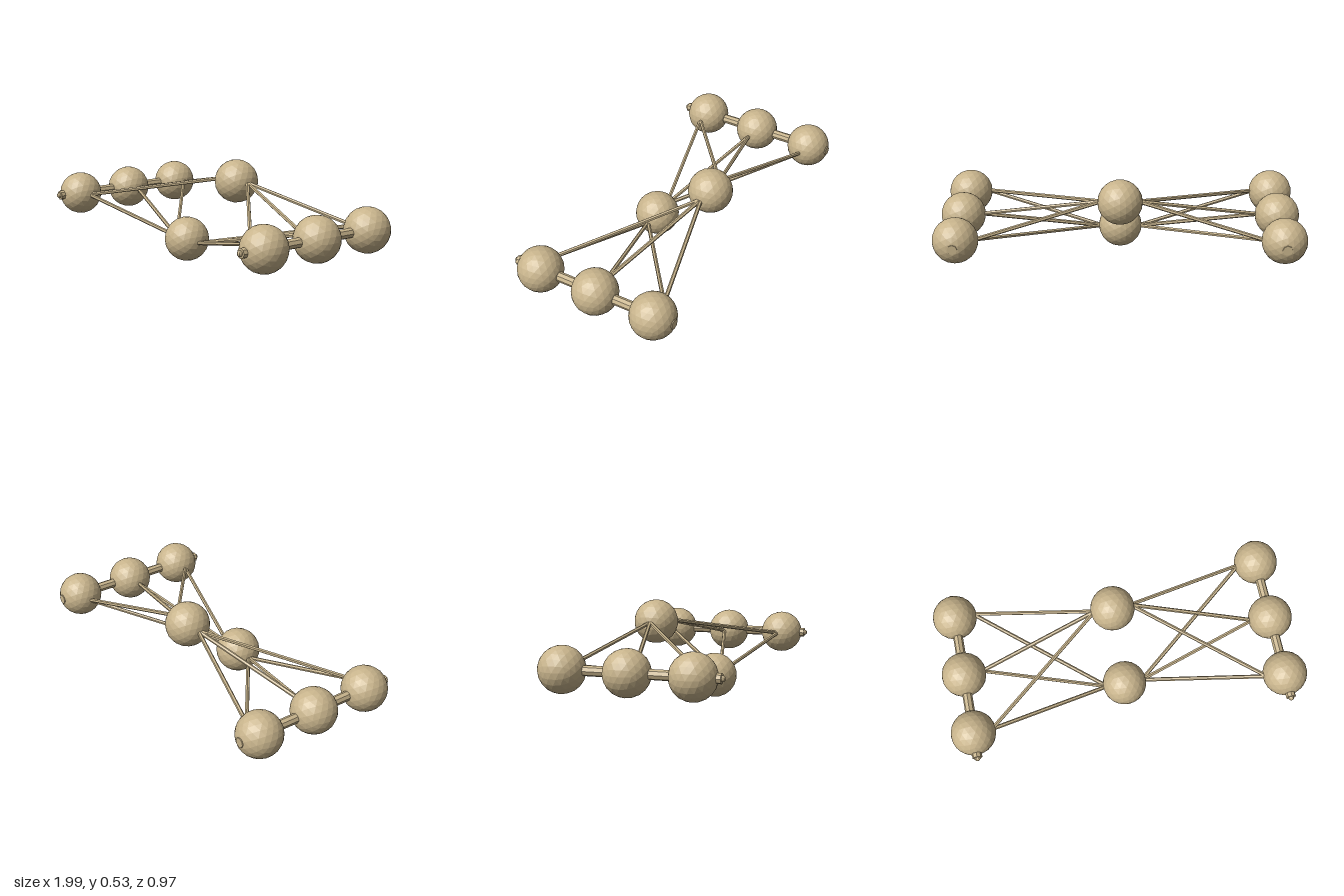
import * as THREE from 'three';

const RADIUS = 0.123;
const MID_Y = 0.265;
const SIDE_X = 0.873;
const SIDE_Z = [0.325, -0.016, -0.362];

export function createModel() {
  const model = new THREE.Group();
  const material = new THREE.MeshStandardMaterial({ color: 0xc8b48c, flatShading: true });
  const ballGeometry = new THREE.IcosahedronGeometry(RADIUS, 3);

  const add = (geometry, name, x, y, z) => {
    const mesh = new THREE.Mesh(geometry, material);
    mesh.name = name;
    mesh.position.set(x, y, z);
    model.add(mesh);
    return mesh;
  };

  // Rod with few sides between two points
  const rod = (name, from, to, radius, sides) => {
    const direction = to.clone().sub(from);
    const middle = from.clone().add(to).multiplyScalar(0.5);
    const geometry = new THREE.CylinderGeometry(radius, radius, direction.length(), sides);
    const mesh = add(geometry, name, middle.x, middle.y, middle.z);
    mesh.quaternion.setFromUnitVectors(new THREE.Vector3(0, 1, 0), direction.normalize());
  };

  // Central balls: one high at the back, one low at the front
  const hubs = [
    { name: 'upperBall', y: 0.411, z: -0.185 },
    { name: 'lowerBall', y: 0.124, z: 0.16 },
  ];
  for (const hub of hubs) add(ballGeometry, hub.name, 0, hub.y, hub.z);

  for (const [side, label] of [[1, 'left'], [-1, 'right']]) {
    const x = side * SIDE_X;

    // Axle through the three side balls, with a rounded tip at the front
    rod(label + 'Axle', new THREE.Vector3(x, MID_Y, -0.486), new THREE.Vector3(x, MID_Y, 0.468), 0.027, 8);
    add(new THREE.SphereGeometry(0.016, 8, 6), label + 'AxleTip', x, MID_Y, 0.471);

    for (const z of SIDE_Z) {
      add(ballGeometry, label + 'Ball', x, MID_Y, z);

      // Thin struts from each central ball to this side ball
      for (const hub of hubs) {
        const bias = hub.y > MID_Y ? 0.004 : -0.006;
        rod(label + 'Strut',
          new THREE.Vector3(side * 0.1, hub.y + bias, hub.z),
          new THREE.Vector3(side * 0.77, MID_Y + 0.004, z),
          0.011, 6);
      }
    }
  }
  return model;
}
